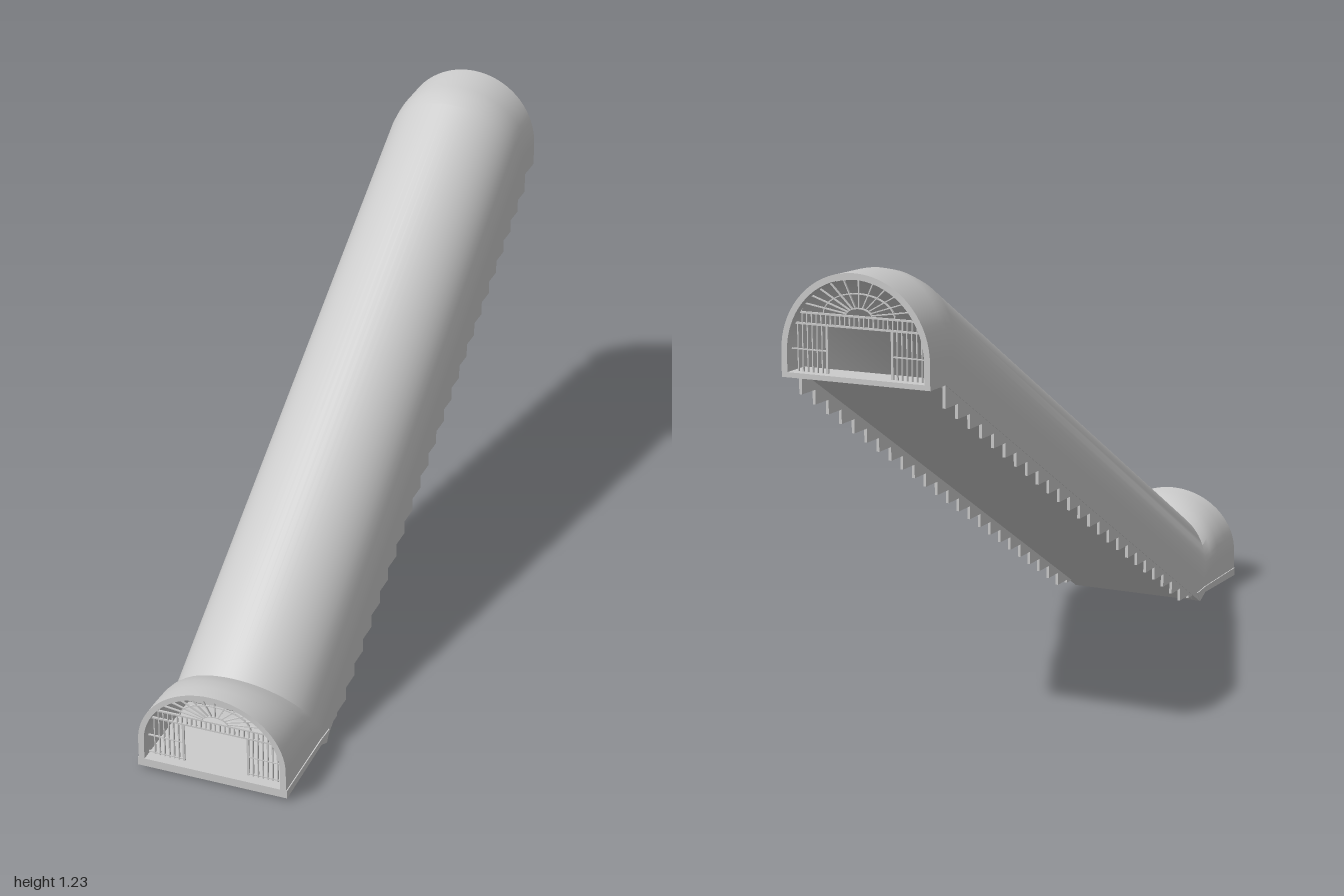
import * as THREE from 'three';
import { toCreasedNormals, mergeGeometries } from 'three/addons/utils/BufferGeometryUtils.js';

const R = 0.205, H = 0.27, LEG = H - R, WALL = 0.016;
const grey = new THREE.MeshStandardMaterial({ color: 0xcccccc, side: THREE.DoubleSide });
const slopeY = z => 0.96 * (0.72 - z) / 1.64; // underside line of the incline

function add(group, name, geometry) {
  const mesh = new THREE.Mesh(geometry, grey);
  mesh.name = name;
  group.add(mesh);
  return mesh;
}

// Extrudes a [z, y] side profile across x
function sideExtrude(points, width, x = 0) {
  const shape = new THREE.Shape(points.map(([z, y]) => new THREE.Vector2(z, y)));
  const g = new THREE.ExtrudeGeometry(shape, { depth: width, bevelEnabled: false });
  return g.translate(0, 0, -width / 2).rotateY(-Math.PI / 2).translate(x, 0, 0);
}

// Arch outline [x, height], from the +x foot over the crown to the -x foot
function archOutline(r) {
  const pts = [[r, 0]];
  for (let i = 0; i <= 36; i++) {
    const a = Math.PI * i / 36;
    pts.push([r * Math.cos(a), LEG + r * Math.sin(a)]);
  }
  pts.push([-r, 0]);
  return pts;
}

// Tunnel: a hollow arch lofted through sections given as foot (z, y) and crown (z, y)
function tunnelGeometry() {
  const sections = [
    [1, 0.033, 1, 0.27], [0.93, 0.033, 0.955, 0.268], [0.84, 0.033, 0.915, 0.261],
    [0.77, 0.022, 0.885, 0.251], [0.72, 0, 0.86, 0.24],
    [-0.92, 0.96, -0.79, 1.2], [-0.945, 0.96, -0.83, 1.217],
    [-0.965, 0.96, -0.87, 1.226], [-1, 0.96, -1, 1.23],
  ];
  const loop = [...archOutline(R), ...archOutline(R - WALL).reverse()];
  const n = loop.length, pos = [], idx = [];
  for (const [zb, yb, zt, yt] of sections)
    for (const [x, h] of loop) {
      const t = h / H;
      pos.push(x, yb + (yt - yb) * t, zb + (zt - zb) * t);
    }
  for (let s = 0; s < sections.length - 1; s++)
    for (let i = 0; i < n; i++) {
      const a = s * n + i, b = s * n + (i + 1) % n;
      idx.push(a, a + n, b, b, a + n, b + n);
    }
  // end rims
  const last = (sections.length - 1) * n;
  for (let i = 0; i < n / 2 - 1; i++) {
    const j = n - 1 - i;
    idx.push(i, i + 1, j, i + 1, j - 1, j);
    idx.push(last + i, last + j, last + i + 1, last + i + 1, last + j, last + j - 1);
  }
  const g = new THREE.BufferGeometry();
  g.setAttribute('position', new THREE.Float32BufferAttribute(pos, 3));
  g.setIndex(idx);
  return toCreasedNormals(g, 0.6);
}

// Fine inner stairs
function stairsGeometry() {
  const count = 78, z0 = 0.72, run = 1.64 / count, rise = 0.925 / count;
  const pts = [];
  for (let i = 0; i < count; i++) {
    pts.push([z0 - i * run, 0.035 + i * rise], [z0 - i * run, 0.035 + (i + 1) * rise]);
  }
  pts.push([-0.92, 0.962], [-0.92, 0.955], [0.7, 0.01]);
  return sideExtrude(pts, 2 * (R - WALL));
}

// Saw-toothed stringer hanging below one edge
function stringerGeometry(x) {
  const count = 25, z0 = 0.7, run = 1.62 / count, pts = [[z0, slopeY(z0) + 0.025]];
  for (let i = 0; i < count; i++) {
    const z = z0 - i * run, y = Math.max(0.03, 0.37 + 0.579 * (0.0635 - z));
    pts.push([z, y], [z - run, y]);
  }
  pts.push([-0.92, 0.968]);
  return sideExtrude(pts, 0.008, x);
}

// Entrance grille: side bars, a lintel of short bars and a fan of spokes above
function grille(name) {
  const g = new THREE.Group(), parts = { sideBars: [], lintel: [], fan: [] };
  g.name = name;
  const bar = (list, x0, y0, x1, y1, w = 0.003) => {
    const len = Math.hypot(x1 - x0, y1 - y0);
    list.push(new THREE.BoxGeometry(len, w, 0.005)
      .rotateZ(Math.atan2(y1 - y0, x1 - x0))
      .translate((x0 + x1) / 2, (y0 + y1) / 2, 0));
  };
  const lintelY = 0.13, lintelTop = 0.158, r = R - WALL;
  const halfAt = y => Math.sqrt(r * r - Math.max(0, y - LEG) ** 2);
  for (const s of [-1, 1]) {
    for (let i = 0; i < 7; i++) {
      const x = 0.09 + i * 0.0135;
      const top = Math.min(lintelY, LEG + Math.sqrt(Math.max(0, r * r - x * x)));
      bar(parts.sideBars, s * x, 0, s * x, top, i ? 0.003 : 0.006);
    }
    for (const y of [0.006, 0.065]) bar(parts.sideBars, s * 0.09, y, s * halfAt(y), y);
  }
  for (const y of [lintelY, lintelTop]) bar(parts.lintel, -halfAt(y), y, halfAt(y), y, 0.005);
  for (let i = -12; i <= 12; i++) bar(parts.lintel, i * 0.0132, lintelY, i * 0.0132, lintelTop);
  // fan spokes and arcs
  const rise = LEG + r - lintelTop, half = halfAt(lintelTop);
  for (let i = 1; i < 12; i++) {
    const a = Math.PI * i / 12, c = Math.cos(a), s = Math.sin(a);
    bar(parts.fan, c * half * 0.22, lintelTop + s * rise * 0.22,
      c * half * 0.97, lintelTop + s * rise * 0.97);
  }
  for (const k of [0.22, 0.6, 0.97])
    for (let i = 0; i < 20; i++) {
      const a = Math.PI * i / 20, b = Math.PI * (i + 1) / 20;
      bar(parts.fan, k * half * Math.cos(a), lintelTop + k * rise * Math.sin(a),
        k * half * Math.cos(b), lintelTop + k * rise * Math.sin(b));
    }
  for (const key in parts) add(g, key, mergeGeometries(parts[key]));
  return g;
}

export function createModel() {
  const model = new THREE.Group();
  model.name = 'coveredStairway';
  add(model, 'tunnelShell', tunnelGeometry());
  add(model, 'stairs', stairsGeometry());

  // Sloping underside with narrow joints between its panels
  const panels = 4, step = 1.64 / panels;
  for (let i = 0; i < panels; i++) {
    const a = 0.72 - i * step - (i ? 0.002 : 0), b = 0.72 - (i + 1) * step + 0.002;
    add(model, 'undersidePanel', sideExtrude([[a, slopeY(a)], [b, slopeY(b)],
      [b, slopeY(b) + 0.008], [a, slopeY(a) + 0.008]], 2 * R - 0.002));
  }
  for (const s of [-1, 1]) add(model, 'toothedStringer', stringerGeometry(s * (R - 0.005)));

  // Landings at both ends
  add(model, 'lowerLanding', sideExtrude(
    [[1, 0.012], [0.76, 0.018], [0.72, 0], [0.7, 0.03], [0.76, 0.035], [1, 0.035]], 0.416));
  add(model, 'upperLanding', sideExtrude(
    [[-0.92, 0.96], [-1, 0.96], [-1, 0.973], [-0.92, 0.973]], 2 * R));

  const front = grille('lowerGrille');
  front.position.set(0, 0.035, 0.97);
  front.scale.y = 0.235 / H;
  const back = grille('upperGrille');
  back.position.set(0, 0.965, -0.975);
  back.scale.y = 0.98;
  model.add(front, back);
  return model;
}
